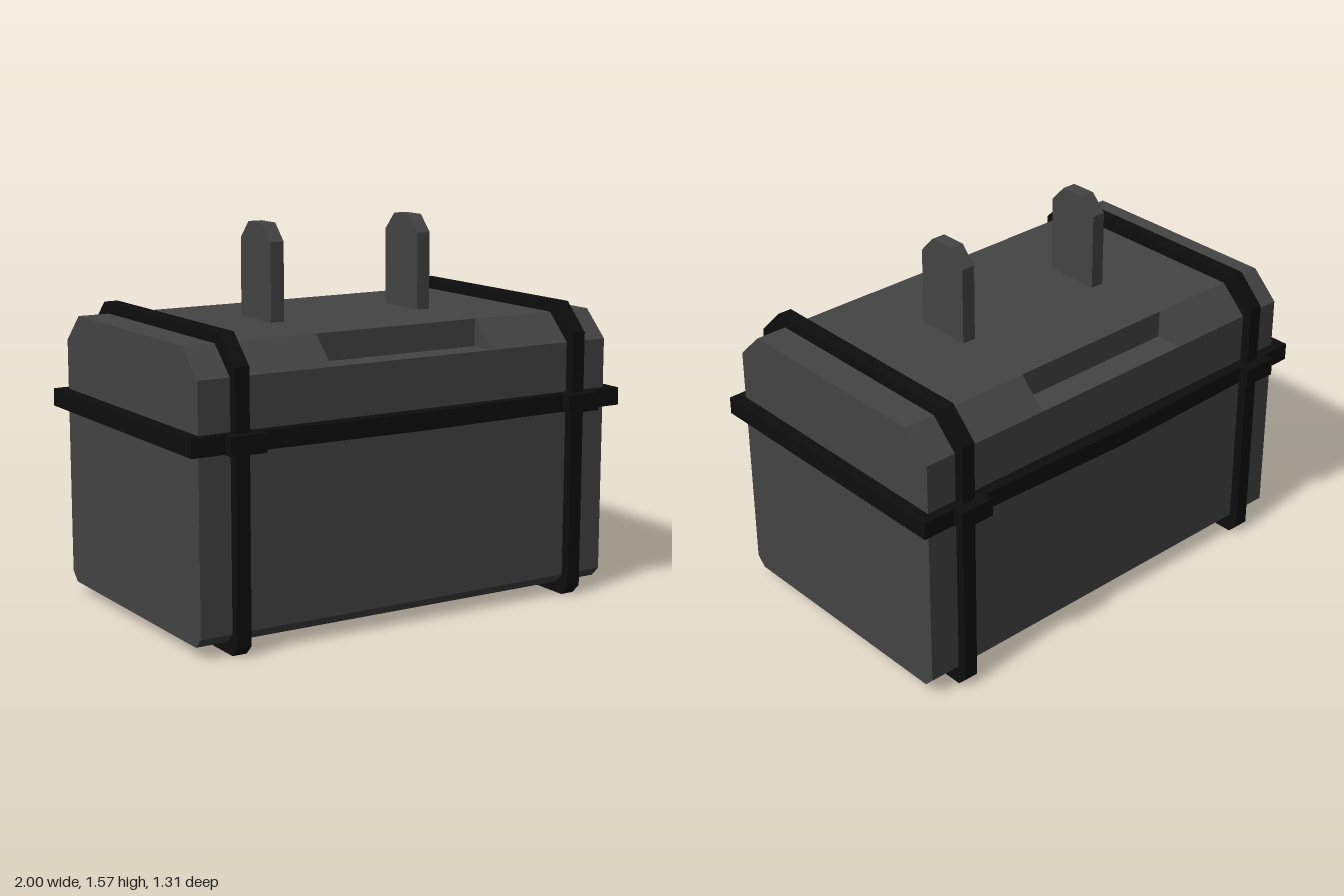
import * as THREE from 'three';

const bodyGrey = new THREE.MeshStandardMaterial({ color: 0x444444 });
bodyGrey.name = 'bodyGrey';
const strapBlack = new THREE.MeshStandardMaterial({ color: 0x0d0d0d });
strapBlack.name = 'strapBlack';

// Half outline of [z, y] points, bottom to top, mirrored into a closed loop
const mirrored = (half) => [...half, ...half.map(([z, y]) => [-z, y]).reverse()]
  .map(([z, y]) => new THREE.Vector2(z, y));

// Extrude a z-y outline along x, centred on the given x
function alongX(points, width, x, hole) {
  const shape = new THREE.Shape(points);
  if (hole) shape.holes.push(new THREE.Path(hole));
  const geo = new THREE.ExtrudeGeometry(shape, { depth: width, bevelEnabled: false });
  geo.translate(0, 0, -width / 2);
  geo.rotateY(-Math.PI / 2);
  geo.translate(x, 0, 0);
  return geo;
}

export function createModel() {
  const model = new THREE.Group();
  const add = (name, geo, material) => {
    const mesh = new THREE.Mesh(geo, material);
    mesh.name = name;
    model.add(mesh);
    return mesh;
  };

  const body = mirrored([[0.53, 0.045], [0.57, 0.085], [0.57, 1.068], [0.455, 1.18]]);
  const notched = mirrored([[0.53, 0.045], [0.57, 0.085], [0.57, 1.068], [0.453, 1.068], [0.453, 1.18]]);
  const strap = mirrored([[0.57, 0], [0.61, 0.04], [0.61, 1.11], [0.495, 1.225]]);
  const tab = mirrored([[0.12, 1.17], [0.12, 1.5], [0.055, 1.57]]);

  // Chest middle, with a stepped recess along the front and back lid edges
  add('chestMiddle', alongX(notched, 0.75, 0), bodyGrey);

  for (const [side, s] of [['left', 1], ['right', -1]]) {
    // Chest ends with bevelled lid edges
    add(side + 'ChestEnd', alongX(body, 0.575, s * 0.6625), bodyGrey);
    // Strap looping round the chest
    add(side + 'Strap', alongX(strap, 0.06, s * 0.785, body), strapBlack);
    // Upright lug on the lid
    add(side + 'Lug', alongX(tab, 0.06, s * 0.35), bodyGrey);
    // Clasps where the straps cross the band
    for (const f of [1, -1]) {
      const clasp = new THREE.BoxGeometry(0.153, 0.075, 0.085);
      clasp.translate(s * 0.783, 0.826, f * 0.6125);
      add(side + (f > 0 ? 'Front' : 'Back') + 'Clasp', clasp, strapBlack);
    }
  }

  // Horizontal band, bowed slightly outward at the front and back
  const outline = [[-1, -0.61], [-0.7, -0.612], [0, -0.632], [0.7, -0.612], [1, -0.61],
    [1, 0.61], [0.7, 0.612], [0, 0.632], [-0.7, 0.612], [-1, 0.61]];
  const band = new THREE.Shape(outline.map(([x, z]) => new THREE.Vector2(x, z)));
  band.holes.push(new THREE.Path([[-0.95, -0.57], [-0.95, 0.57], [0.95, 0.57], [0.95, -0.57]]
    .map(([x, z]) => new THREE.Vector2(x, z))));
  const bandGeo = new THREE.ExtrudeGeometry(band, { depth: 0.073, bevelEnabled: false });
  bandGeo.rotateX(-Math.PI / 2);
  bandGeo.translate(0, 0.79, 0);
  add('band', bandGeo, strapBlack);

  return model;
}
